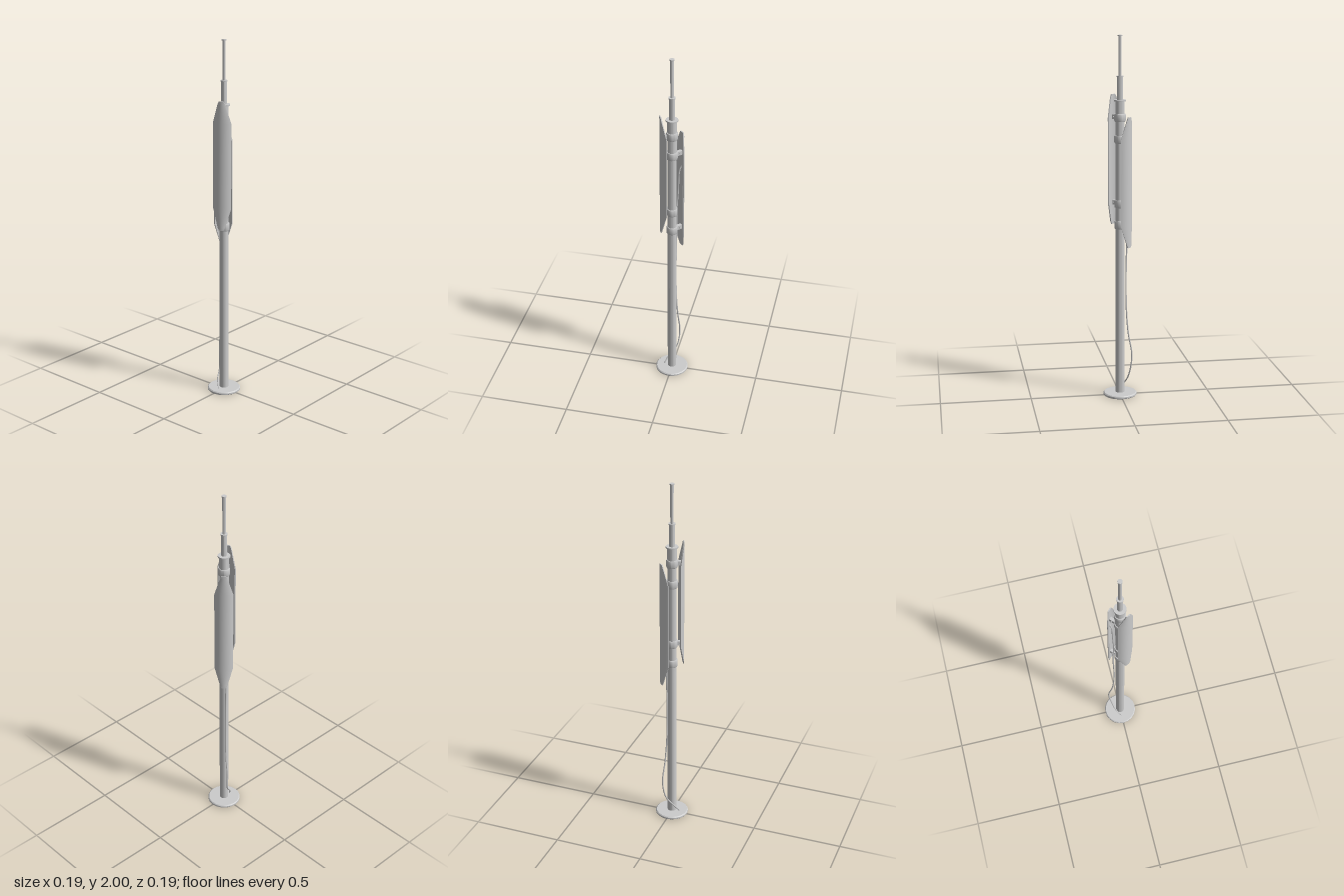
import * as THREE from 'three';
import { toCreasedNormals } from 'three/addons/utils/BufferGeometryUtils.js';

const grey = new THREE.MeshStandardMaterial({ color: 0xcccccc });

function add(parent, name, geometry) {
  const mesh = new THREE.Mesh(geometry, grey);
  mesh.name = name;
  parent.add(mesh);
  return mesh;
}

// Turned part from [radius, height] pairs, bottom to top, with crisp edges
function lathe(profile, sides = 20) {
  const points = profile.map(([r, y]) => new THREE.Vector2(r, y));
  return toCreasedNormals(new THREE.LatheGeometry(points, sides), 0.6);
}

// Curved plate around the pole, tapering to blunt points at both ends
function panelGeometry() {
  const rows = [[-0.357, 0.2], [-0.34, 0.32], [-0.235, 0.87], [0.235, 0.87], [0.34, 0.32], [0.357, 0.2]];
  const geometry = new THREE.BoxGeometry(1, 1, 1, 12, rows.length - 1, 1);
  const pos = geometry.attributes.position;
  for (let i = 0; i < pos.count; i++) {
    const [y, half] = rows[Math.round((pos.getY(i) + 0.5) * (rows.length - 1))];
    const angle = pos.getX(i) * 2 * half;
    const radius = pos.getZ(i) > 0 ? 0.066 : 0.06;
    pos.setXYZ(i, radius * Math.sin(angle), y, radius * Math.cos(angle));
  }
  geometry.computeVertexNormals();
  return geometry;
}

// Panel with two pole clamps, arms and bolts; faces +z before turning
function antenna(name, centreY, turn) {
  const group = new THREE.Group();
  group.name = name;
  group.position.y = centreY;
  group.rotation.y = turn;
  add(group, 'panel', panelGeometry());
  for (const y of [-0.235, 0.235]) {
    add(group, 'clamp', lathe([[0.025, -0.021], [0.029, -0.021], [0.031, -0.016],
      [0.031, 0.016], [0.029, 0.021], [0.025, 0.021]])).position.y = y;
    add(group, 'arm', new THREE.BoxGeometry(0.018, 0.024, 0.037)).position.set(0, y, 0.0435);
    for (const side of [-1, 1]) {
      const bolt = add(group, 'bolt', new THREE.CylinderGeometry(0.004, 0.004, 0.006, 8));
      bolt.rotation.z = Math.PI / 2;
      bolt.position.set(side * 0.011, y, 0.045);
    }
  }
  return group;
}

function cable(points) {
  const curve = new THREE.CatmullRomCurve3(points.map((p) => new THREE.Vector3(...p)));
  return new THREE.TubeGeometry(curve, 60, 0.004, 6);
}

export function createModel() {
  const model = new THREE.Group();
  model.name = 'antennaMast';

  // Base and telescoping mast
  add(model, 'base', lathe([[0, 0], [0.09, 0], [0.093, 0.003], [0.093, 0.011], [0.088, 0.016], [0, 0.016]]));
  add(model, 'pole', lathe([[0.025, 0.01], [0.025, 1.648], [0.033, 1.648], [0.033, 1.656], [0, 1.656]]));
  add(model, 'middleTube', lathe([[0.015, 1.65], [0.015, 1.778], [0.019, 1.778], [0.019, 1.784], [0, 1.784]]));
  add(model, 'topTube', lathe([[0.009, 1.78], [0.009, 1.994], [0.013, 1.994], [0.013, 2], [0, 2]]));

  // Two antennas clamped at different heights
  model.add(antenna('frontAntenna', 1.325, THREE.MathUtils.degToRad(27)));
  model.add(antenna('rearAntenna', 1.208, THREE.MathUtils.degToRad(-135)));

  // Cable from the rear panel down the pole to the base
  add(model, 'cable', cable([
    [-0.045, 1.36, -0.043], [-0.037, 1.33, -0.033], [-0.033, 1.2, -0.027], [-0.03, 1.08, -0.02],
    [-0.035, 0.9, -0.018], [-0.031, 0.7, -0.016], [-0.033, 0.5, -0.018], [-0.043, 0.36, -0.025],
    [-0.061, 0.25, -0.033], [-0.058, 0.18, -0.031], [-0.045, 0.11, -0.015], [-0.028, 0.06, 0.022],
    [0, 0.014, 0.046],
  ]));
  return model;
}
